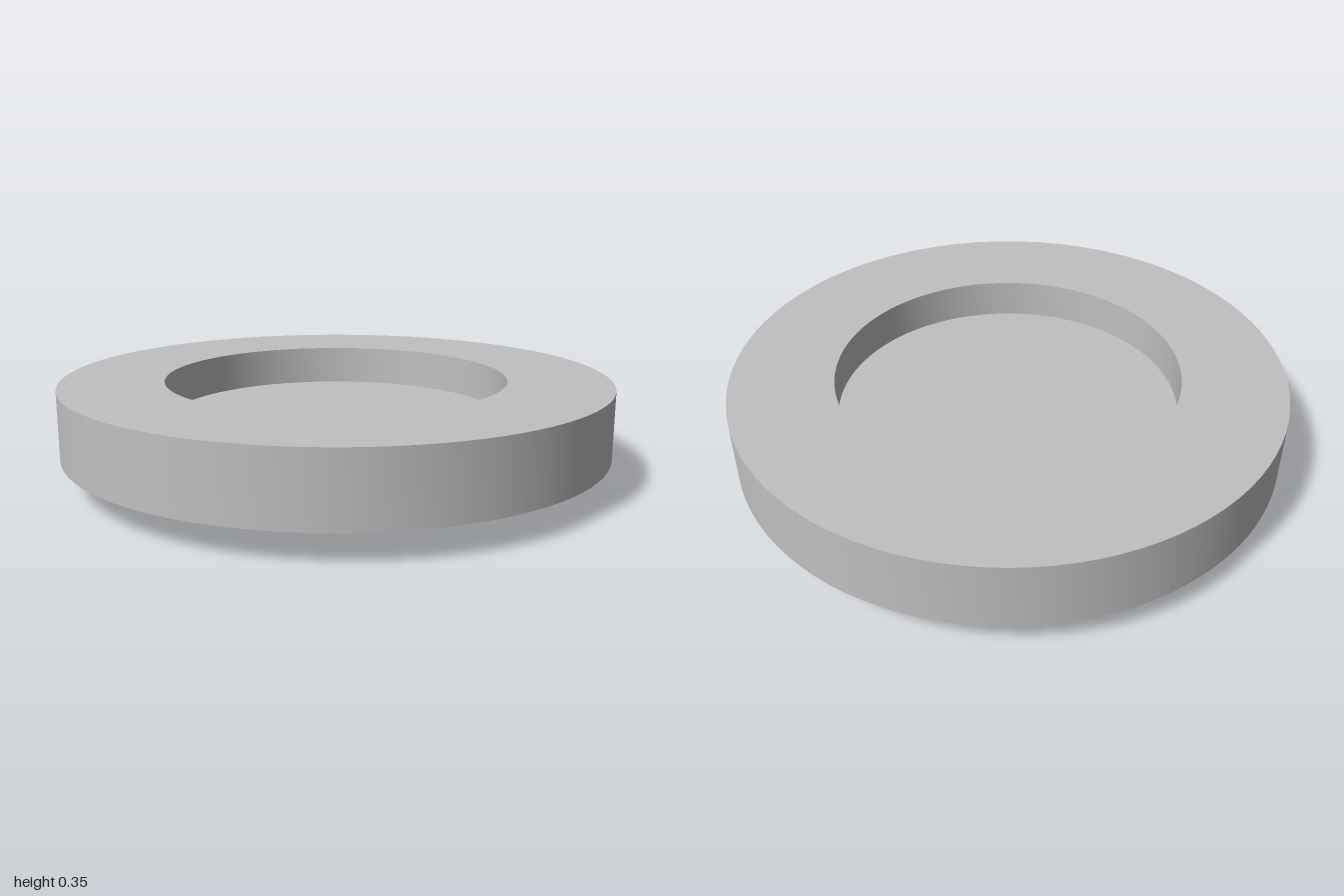
import * as THREE from 'three';
import { toCreasedNormals } from 'three/addons/utils/BufferGeometryUtils.js';

export function createModel() {
  const group = new THREE.Group();
  const grey = new THREE.MeshStandardMaterial({ color: 0xc0c0c0 });
  grey.name = 'light grey';

  // Half section of the turned part, as [radius, height], from bottom centre to top centre
  const section = [
    [0, 0], [0.55, 0], [0.55, 0.105],               // foot
    [0.66, 0.105], [0.66, 0.18],                    // inner wall of the underside groove
    [0.775, 0.18], [0.775, 0.105],                  // outer wall of the groove
    [1, 0.105], [1, 0.352],                         // rim
    [0.625, 0.352], [0.625, 0.205], [0, 0.205],     // round pocket in the top
  ].map(([r, y]) => new THREE.Vector2(r, y));

  const geometry = toCreasedNormals(new THREE.LatheGeometry(section, 96), Math.PI / 6);
  const disc = new THREE.Mesh(geometry, grey);
  disc.name = 'steppedDisc';
  group.add(disc);
  return group;
}
